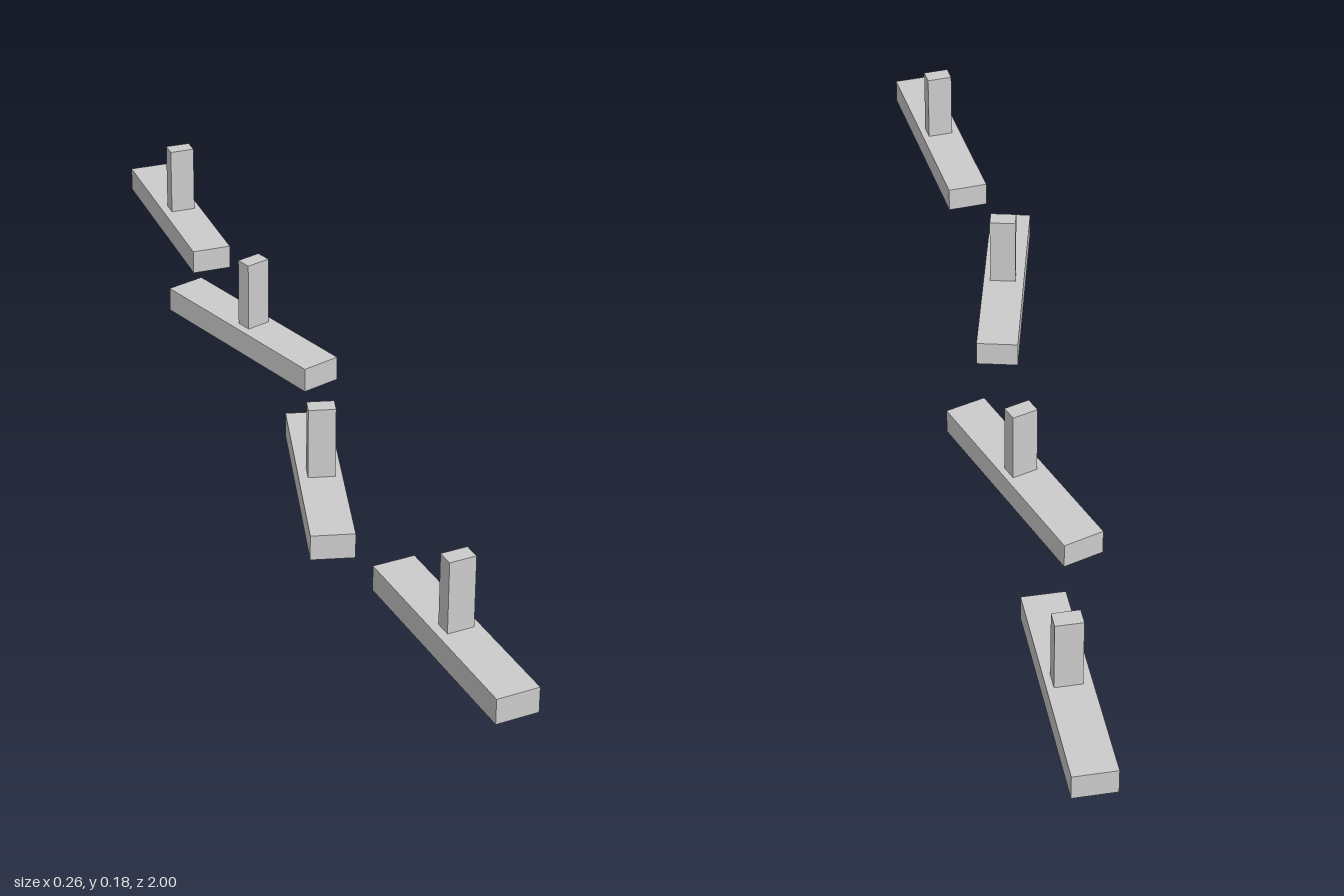
import * as THREE from 'three';

export function createModel() {
  const model = new THREE.Group();
  model.name = 'barrierRow';
  const material = new THREE.MeshStandardMaterial({ color: 0xcccccc, flatShading: true });

  const baseHeight = 0.046, postHeight = 0.13;
  const baseGeometry = new THREE.BoxGeometry(0.075, baseHeight, 0.411);
  const postGeometry = new THREE.BoxGeometry(0.047, postHeight, 0.03);

  // Each segment: x, z, turn about the vertical in degrees
  const segments = [
    [0.053, -0.794, 0],
    [0.026, -0.272, 18.7],
    [-0.044, 0.283, -14],
    [-0.009, 0.793, 5.6],
  ];

  segments.forEach(([x, z, turn], i) => {
    const segment = new THREE.Group();
    segment.name = `segment${i + 1}`;
    segment.position.set(x, 0, z);
    segment.rotation.y = THREE.MathUtils.degToRad(turn);

    // Long low bar on the ground
    const base = new THREE.Mesh(baseGeometry, material);
    base.name = 'base';
    base.position.y = baseHeight / 2;

    // Upright post near its middle
    const post = new THREE.Mesh(postGeometry, material);
    post.name = 'post';
    post.position.set(0.002, baseHeight + postHeight / 2, 0.004);

    segment.add(base, post);
    model.add(segment);
  });

  return model;
}
